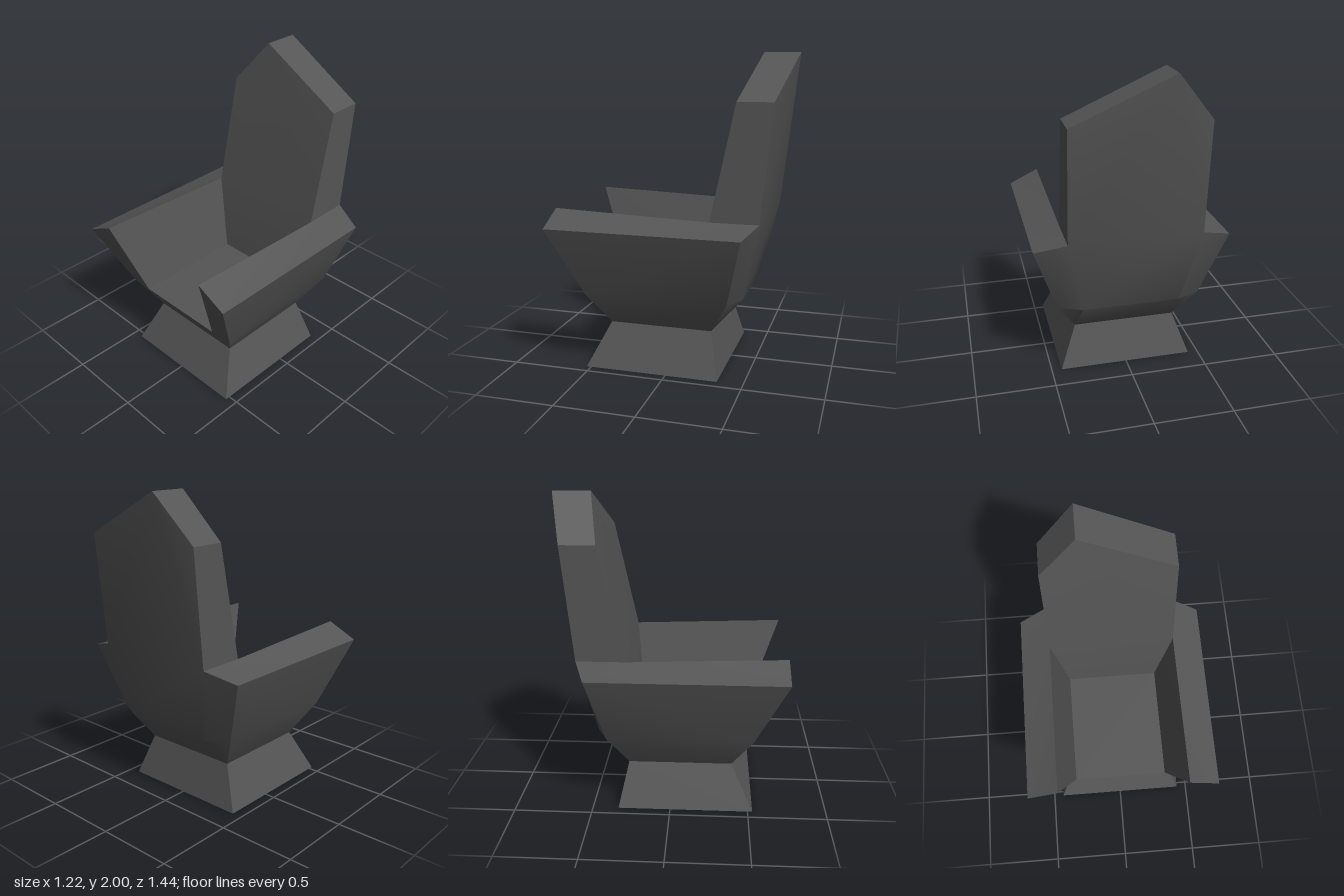
import * as THREE from 'three';
import { toCreasedNormals } from 'three/addons/utils/BufferGeometryUtils.js';

const charcoal = new THREE.MeshStandardMaterial({ color: 0x555555 });
charcoal.name = 'charcoal';

// Corners on the chair's left half; a trailing apostrophe means the mirrored corner
const corners = {
  // pedestal foot
  a: [0.435, 0, 0.53], f: [0.435, 0, -0.335],
  // shell: waist, bend and arm top, front then back
  A: [0.33, 0.285, 0.39], B: [0.46, 0.5, 0.52], C: [0.61, 0.94, 0.72], D: [0.415, 1.035, 0.72], E: [0.31, 0.5, 0.525],
  F: [0.33, 0.285, -0.27], G: [0.46, 0.5, -0.395], H: [0.61, 0.94, -0.505], I: [0.415, 1, -0.578], J: [0.31, 0.5, -0.465],
  // seat rear and backrest front
  K: [0.31, 0.5, -0.225], M: [0.415, 1, -0.275], N: [0.415, 1.715, -0.43], O: [0.415, 1.715, -0.65],
  // off-centre peak
  P: [-0.18, 2, -0.485], Q: [-0.18, 2, -0.72],
};

const corner = (key) => {
  const [x, y, z] = corners[key[0]];
  return key.endsWith("'") ? [-x, y, z] : [x, y, z];
};

// Faces are counter-clockwise corner lists; paired faces are also mirrored
function makePart(name, pairedFaces, singleFaces) {
  const positions = [];
  const addFace = (points) => {
    for (let i = 1; i < points.length - 1; i++) positions.push(...points[0], ...points[i], ...points[i + 1]);
  };
  for (const face of pairedFaces) {
    const points = face.split(' ').map(corner);
    addFace(points);
    const flipped = points.map(([x, y, z]) => [-x, y, z]);
    addFace([flipped[0], ...flipped.slice(1).reverse()]);
  }
  for (const face of singleFaces) addFace(face.split(' ').map(corner));
  const geometry = new THREE.BufferGeometry();
  geometry.setAttribute('position', new THREE.Float32BufferAttribute(positions, 3));
  const mesh = new THREE.Mesh(toCreasedNormals(geometry, 0.55), charcoal);
  mesh.name = name;
  return mesh;
}

export function createModel() {
  const chair = new THREE.Group();
  chair.name = 'armchair';

  // Flared pedestal
  chair.add(makePart('pedestal', ['a f F A'], ["a' a A A'", "f f' F' F", "a' f' f a"]));

  // Arms with their outer sides, tops, fronts and inner faces
  chair.add(makePart('arms', ['A F G B', 'B G H C', 'E B C D', 'E A B', 'M D C H I', 'K E D M'], []));

  // Seat and the apron below it
  chair.add(makePart('seat', [], ["E' E K K'", "A' A E E'"]));

  // Leaning backrest with a lopsided peak, continuing down the rear of the shell
  chair.add(makePart('backrest',
    ['G J I H', 'F J G', 'M I O N'],
    [
      "K' K M M'", "M' M P", 'M N P', "M' P N'",
      "F F' J' J", "J J' I' I", "I I' Q", 'O I Q', "I' O' Q",
      'N O Q P', "N' P Q O'",
    ]));

  return chair;
}
